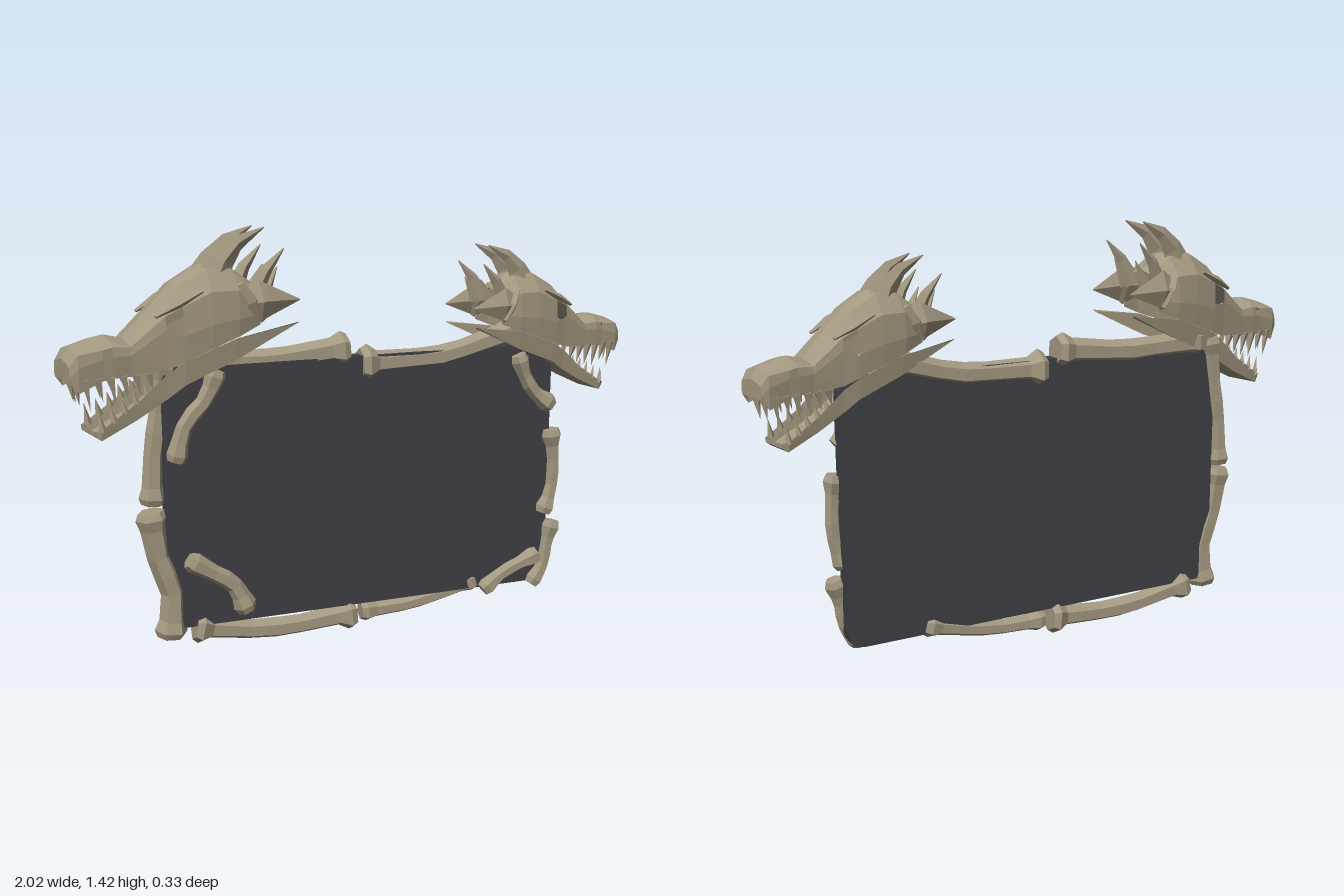
import * as THREE from 'three';

const boneMat = new THREE.MeshStandardMaterial({ color: 0xa39880, flatShading: true, side: THREE.DoubleSide });
const boardMat = new THREE.MeshStandardMaterial({ color: 0x3e3f43, flatShading: true });
const V = (x, y, z = 0) => new THREE.Vector3(x, y, z);

function named(geo, name, mat = boneMat) {
  const m = new THREE.Mesh(geo, mat);
  m.name = name;
  return m;
}

// Skin a list of rings; skip(i, j) leaves a hole in the grid.
function loft(rings, { closed = true, capStart = false, capEnd = false, skip = () => false } = {}) {
  const pos = [];
  const tri = (...p) => p.forEach((v) => pos.push(v.x, v.y, v.z));
  const n = rings[0].length;
  for (let i = 0; i < rings.length - 1; i++) {
    for (let j = 0; j < (closed ? n : n - 1); j++) {
      if (skip(i, j)) continue;
      const k = (j + 1) % n, a = rings[i], b = rings[i + 1];
      tri(a[j], a[k], b[k]);
      tri(a[j], b[k], b[j]);
    }
  }
  const cap = (ring, flip) => {
    const c = V(0, 0);
    ring.forEach((p) => c.addScaledVector(p, 1 / n));
    for (let j = 0; j < n; j++) {
      const k = (j + 1) % n;
      if (flip) tri(c, ring[k], ring[j]); else tri(c, ring[j], ring[k]);
    }
  };
  if (capStart) cap(rings[0], true);
  if (capEnd) cap(rings[rings.length - 1], false);
  const g = new THREE.BufferGeometry();
  g.setAttribute('position', new THREE.Float32BufferAttribute(pos, 3));
  g.computeVertexNormals();
  return g;
}

// Sweep a polygon along a path; stations are [t, radius] pairs.
function sweep(points, stations, sides = 6, depth = 1) {
  const curve = new THREE.CatmullRomCurve3(points);
  const rings = stations.map(([t, r]) => {
    const p = curve.getPointAt(t), d = curve.getTangentAt(t);
    const nrm = V(-d.y, d.x).normalize();
    return Array.from({ length: sides }, (_, j) => {
      const a = (j / sides) * Math.PI * 2;
      return p.clone().addScaledVector(nrm, r * Math.cos(a)).add(V(0, 0, r * depth * Math.sin(a)));
    });
  });
  return loft(rings, { capStart: true, capEnd: true });
}

// Bone with a slim shaft and a flared knob at each end.
function bone(name, pts, z, r, k0, k1) {
  const path = pts.map(([x, y]) => V(x, y, z));
  const len = new THREE.CatmullRomCurve3(path).getLength();
  const e = (d) => Math.min(d / len, 0.3);
  return named(sweep(path, [
    [0, k0 * 0.8], [e(0.022), k0], [e(0.06), r * 1.05],
    [0.35, r * 0.95], [0.5, r], [0.65, r * 0.95],
    [1 - e(0.06), r * 1.05], [1 - e(0.022), k1], [1, k1 * 0.8],
  ]), name);
}

function cone(name, from, to, r) {
  const d = to.clone().sub(from);
  const m = named(new THREE.ConeGeometry(r, d.length(), 4), name);
  m.position.copy(from).addScaledVector(d, 0.5);
  m.quaternion.setFromUnitVectors(V(0, 1), d.normalize());
  return m;
}

// Horned skull, snout toward -x.
function createHead() {
  const g = new THREE.Group();

  // Cranium shell: x, lip, lower side, upper side, crown, half width, crown half width
  const skull = [
    [-1.0, 0.99, 1.005, 1.035, 1.05, 0.07, 0.05],
    [-0.975, 0.955, 1.03, 1.07, 1.085, 0.08, 0.055],
    [-0.9, 0.985, 1.05, 1.078, 1.105, 0.08, 0.055],
    [-0.868, 0.99, 1.055, 1.085, 1.11, 0.082, 0.055],
    [-0.81, 0.99, 1.055, 1.08, 1.095, 0.08, 0.05],
    [-0.7, 1.0, 1.125, 1.165, 1.2, 0.09, 0.05],
    [-0.645, 1.02, 1.1, 1.19, 1.255, 0.098, 0.05],
    [-0.55, 1.055, 1.13, 1.23, 1.305, 0.105, 0.055],
    [-0.46, 1.085, 1.14, 1.23, 1.3, 0.105, 0.05],
    [-0.38, 1.115, 1.15, 1.21, 1.245, 0.09, 0.04],
  ];
  const rings = skull.map(([x, b, l, h, t, w, c]) => {
    const side = [[w * 0.94, b], [w, l], [w * 0.95, h], [c, t - 0.008]];
    return [
      ...side.map(([z, y]) => V(x, y, -z)), V(x, t + 0.004),
      ...side.reverse().map(([z, y]) => V(x, y, z)),
    ];
  });
  // eye sockets and nostrils are left open
  const holes = (i, j) => (i === 5 || i === 2) && (j === 1 || j === 6);
  g.add(named(loft(rings, { closed: false, capStart: true, skip: holes }), 'cranium'));
  const septum = named(new THREE.BoxGeometry(0.08, 0.06, 0.09), 'nasalSeptum');
  septum.position.set(-0.885, 1.06, 0);
  g.add(septum);

  // Lower jaw: x, top, bottom, half width; two branches behind a floored chin
  const jaw = [
    [-0.93, 0.83, 0.815, 0.06], [-0.91, 0.835, 0.8, 0.07], [-0.79, 0.91, 0.855, 0.074],
    [-0.7, 0.985, 0.905, 0.08], [-0.64, 1.02, 0.945, 0.09], [-0.47, 1.08, 1.01, 0.1], [-0.25, 1.115, 1.11, 0.1],
  ].map(([x, t, b, w]) => [V(x, t, w), V(x, b, w * 0.92), V(x, b, -w * 0.92), V(x, t, -w)]);
  g.add(named(loft(jaw, { closed: false, capStart: true, skip: (i, j) => j === 1 && i >= 4 }), 'lowerJaw'));

  for (const s of [-1, 1]) {
    // Crown horns, cheek spike and brow
    g.add(named(sweep([V(-0.52, 1.25, s * 0.035), V(-0.46, 1.35, s * 0.038), V(-0.34, 1.415, s * 0.042)],
      [[0, 0.06], [0.3, 0.042], [0.6, 0.025], [1, 0.002]], 4, 0.5), 'crownHorn'));
    g.add(named(sweep([V(-0.4, 1.2, s * 0.065), V(-0.355, 1.28, s * 0.075), V(-0.29, 1.35, s * 0.08)],
      [[0, 0.035], [0.5, 0.022], [1, 0.002]], 4, 0.7), 'rearHorn'));
    g.add(named(sweep([V(-0.35, 1.2, s * 0.05), V(-0.32, 1.25, s * 0.05), V(-0.3, 1.29, s * 0.05)],
      [[0, 0.025], [1, 0.002]], 4), 'smallHorn'));
    g.add(named(sweep([V(-0.43, 1.185, s * 0.085), V(-0.37, 1.19, s * 0.095), V(-0.24, 1.185, s * 0.09)],
      [[0, 0.045], [0.25, 0.068], [0.35, 0.055], [1, 0.002]], 4, 0.4), 'cheekSpike'));
    g.add(named(sweep([V(-0.45, 1.25, s * 0.09), V(-0.42, 1.2, s * 0.108), V(-0.385, 1.13, s * 0.1)],
      [[0, 0.012], [0.5, 0.016], [1, 0.01]], 4), 'cheekRidge'));
    g.add(named(sweep([V(-0.73, 1.165, s * 0.078), V(-0.67, 1.195, s * 0.09), V(-0.58, 1.235, s * 0.095)],
      [[0, 0.006], [0.5, 0.014], [1, 0.006]], 4), 'browRidge'));
    // Teeth
    [0.09, 0.065, 0.085, 0.075, 0.06, 0.05].forEach((len, i) => {
      const x = -0.955 + i * 0.04;
      g.add(cone('upperTooth', V(x, 0.995, s * 0.07), V(x + 0.015, 0.985 - len, s * 0.066), 0.015));
    });
    [0.07, 0.055, 0.05, 0.045, 0.035].forEach((len, i) => {
      const x = -0.905 + i * 0.037, y = 0.828 + i * 0.024;
      g.add(cone('lowerTooth', V(x, y, s * 0.064), V(x - 0.012, y + len, s * 0.06), 0.013));
    });
  }
  // Front teeth
  for (const z of [-0.025, 0.025]) g.add(cone('frontTooth', V(-0.97, 0.985, z), V(-0.96, 0.91, z), 0.014));

  // Move the origin to the middle of the head before turning it
  const inner = new THREE.Group();
  g.position.x = 0.62;
  inner.add(g);
  inner.scale.x = 1.01;
  return inner;
}

export function createModel() {
  const model = new THREE.Group();
  model.name = 'boneFramedBoard';

  // Board with rounded corners
  const x0 = -0.68, x1 = 0.72, y0 = 0.1, y1 = 0.98, r = 0.06;
  const s = new THREE.Shape();
  s.moveTo(x0 + r, y0).lineTo(x1 - r, y0).quadraticCurveTo(x1, y0, x1, y0 + r);
  s.lineTo(x1, y1 - r).quadraticCurveTo(x1, y1, x1 - r, y1);
  s.lineTo(x0 + r, y1).quadraticCurveTo(x0, y1, x0, y1 - r);
  s.lineTo(x0, y0 + r).quadraticCurveTo(x0, y0, x0 + r, y0);
  const board = new THREE.ExtrudeGeometry(s, { depth: 0.05, bevelEnabled: false, curveSegments: 5 });
  board.translate(0, 0, -0.065);
  model.add(named(board, 'board', boardMat));

  // Frame bones: name, path, z, shaft radius, start and end knob radius
  [
    ['topLeftBone', [[-0.62, 0.99], [-0.45, 0.985], [-0.3, 0.98], [-0.17, 0.995], [-0.04, 1.005]], -0.05, 0.04, 0.05, 0.06],
    ['topRightBone', [[0.005, 0.95], [0.15, 0.952], [0.32, 0.96], [0.45, 0.995], [0.58, 1.03]], -0.045, 0.038, 0.065, 0.05],
    ['leftUpperBone', [[-0.66, 1.0], [-0.68, 0.85], [-0.705, 0.7], [-0.715, 0.53]], -0.05, 0.034, 0.045, 0.046],
    ['leftLowerBone', [[-0.725, 0.51], [-0.705, 0.36], [-0.662, 0.22], [-0.675, 0.07]], -0.035, 0.042, 0.054, 0.056],
    ['bottomLeftBone', [[-0.59, 0.09], [-0.42, 0.055], [-0.25, 0.045], [-0.02, 0.063]], -0.045, 0.036, 0.06, 0.063],
    ['bottomRightBone', [[0.005, 0.062], [0.15, 0.062], [0.3, 0.085], [0.45, 0.125]], -0.045, 0.028, 0.04, 0.04],
    ['cornerBone', [[0.455, 0.1], [0.53, 0.155], [0.6, 0.185], [0.67, 0.21]], 0.015, 0.026, 0.034, 0.036],
    ['rightLowerBone', [[0.66, 0.09], [0.705, 0.16], [0.72, 0.24], [0.74, 0.325]], -0.005, 0.025, 0.032, 0.036],
    ['rightUpperBone', [[0.7, 0.36], [0.73, 0.45], [0.735, 0.56], [0.722, 0.67]], -0.005, 0.025, 0.036, 0.038],
    ['upperRightBrace', [[0.58, 0.95], [0.61, 0.87], [0.65, 0.81], [0.715, 0.76]], 0, 0.026, 0.034, 0.036],
    ['upperLeftBrace', [[-0.5, 0.97], [-0.54, 0.88], [-0.61, 0.8], [-0.645, 0.68]], 0.005, 0.028, 0.036, 0.036],
    ['lowerLeftBrace', [[-0.615, 0.345], [-0.54, 0.295], [-0.465, 0.24], [-0.42, 0.145]], 0.01, 0.03, 0.036, 0.04],
  ].forEach((b) => model.add(bone(...b)));

  // Two heads on opposite corners, turned half a circle from each other
  const leftHead = createHead();
  leftHead.name = 'largeHead';
  leftHead.position.set(-0.62, 0, 0.01);
  leftHead.rotation.y = 0.2;
  const rightHead = createHead();
  rightHead.name = 'smallHead';
  rightHead.position.set(0.665, 0.093, -0.035);
  rightHead.rotation.y = 0.2 + Math.PI;
  rightHead.scale.multiplyScalar(0.88);
  model.add(leftHead, rightHead);
  return model;
}
